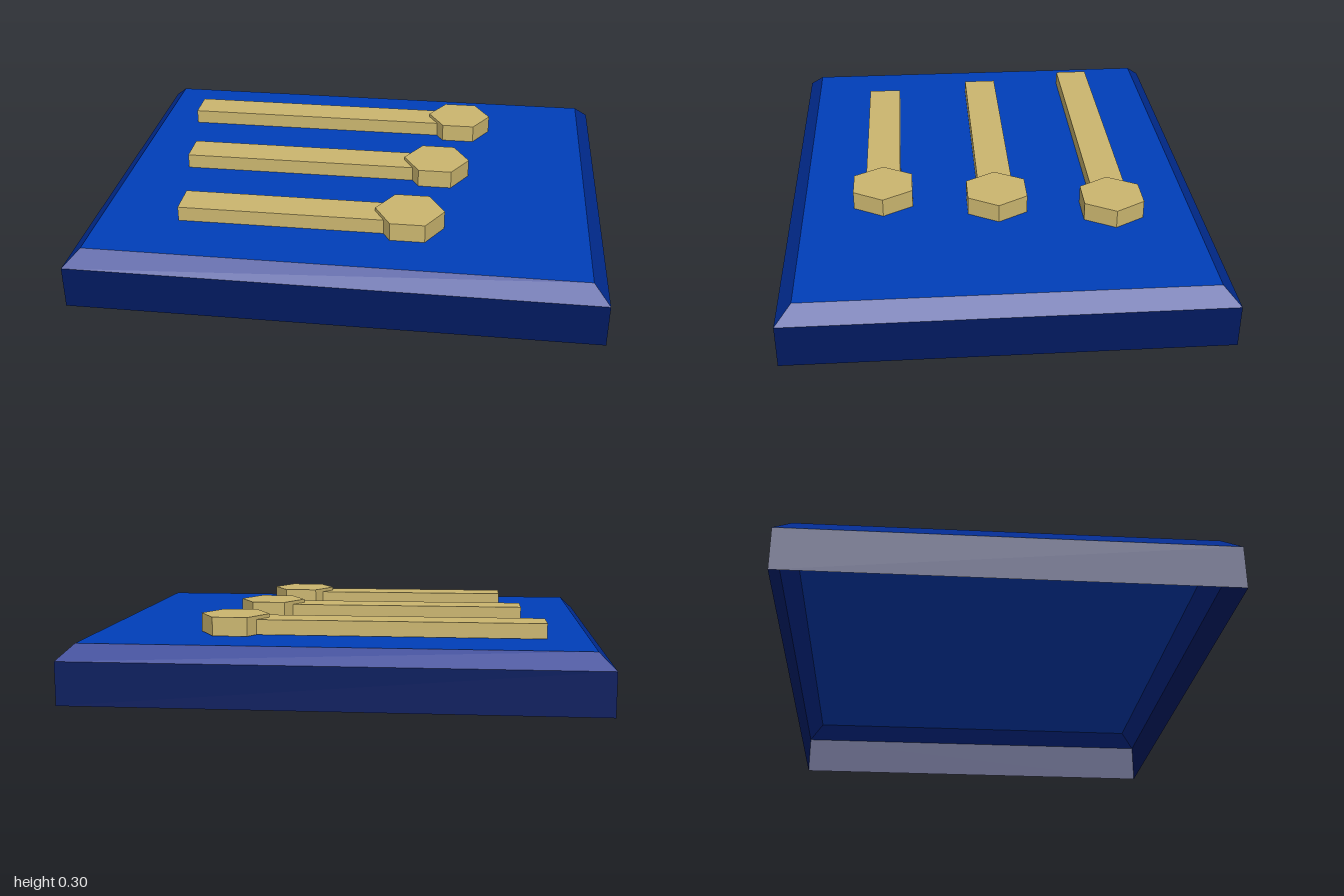
import * as THREE from 'three';

const flat = (color, name, side = THREE.FrontSide) => {
  const m = new THREE.MeshStandardMaterial({ color, side, flatShading: true });
  m.name = name;
  return m;
};

// Four-sided band between two rectangles given as [halfX, y, halfZ]
function band(lower, upper) {
  const ring = ([x, y, z]) => [[-x, y, z], [x, y, z], [x, y, -z], [-x, y, -z]];
  const a = ring(lower), b = ring(upper), pos = [];
  for (let i = 0; i < 4; i++) {
    const j = (i + 1) % 4;
    pos.push(...a[i], ...a[j], ...b[j], ...a[i], ...b[j], ...b[i]);
  }
  const g = new THREE.BufferGeometry();
  g.setAttribute('position', new THREE.Float32BufferAttribute(pos, 3));
  g.computeVertexNormals();
  return g;
}

export function createModel() {
  const model = new THREE.Group();
  model.name = 'panel';

  const topBlue = flat(0x003eb9, 'top blue', THREE.DoubleSide);
  const bevelBlue = flat(0x002a8e, 'bevel blue', THREE.DoubleSide);
  const wallBlue = flat(0x00195e, 'wall blue', THREE.DoubleSide);
  const brass = flat(0xcbb66f, 'brass');

  const add = (parent, name, geometry, material, x = 0, y = 0, z = 0) => {
    const mesh = new THREE.Mesh(geometry, material);
    mesh.name = name;
    mesh.position.set(x, y, z);
    parent.add(mesh);
  };

  // Hollow tray, open underneath
  const TOP = 0.222;
  const foot = [1, 0, 0.815], shoulder = [1, 0.164, 0.815], rim = [0.94, TOP, 0.755];
  add(model, 'walls', band(foot, shoulder), wallBlue);
  add(model, 'bevel', band(shoulder, rim), bevelBlue);
  const plate = new THREE.PlaneGeometry(rim[0] * 2, rim[2] * 2).rotateX(-Math.PI / 2);
  add(model, 'topPlate', plate, topBlue, 0, TOP, 0);

  // Three bars with hexagonal heads, each row shorter towards the front;
  // they rest a hair above the plate so no face coincides with it
  const barH = 0.058, headH = 0.072;
  const head = new THREE.CylinderGeometry(0.133, 0.133, headH, 6).rotateY(Math.PI / 6);
  for (let i = 0; i < 3; i++) {
    const row = new THREE.Group();
    row.name = `slider${i + 1}`;
    row.position.set(0, TOP + 0.002, (i - 1) * 0.444);
    const start = -0.781 + i * 0.075, headX = 0.407 - i * 0.0735;
    const length = headX - start;
    add(row, 'bar', new THREE.BoxGeometry(length, barH, 0.136), brass, start + length / 2, barH / 2, 0);
    add(row, 'hexHead', head, brass, headX, headH / 2, 0);
    model.add(row);
  }
  return model;
}
